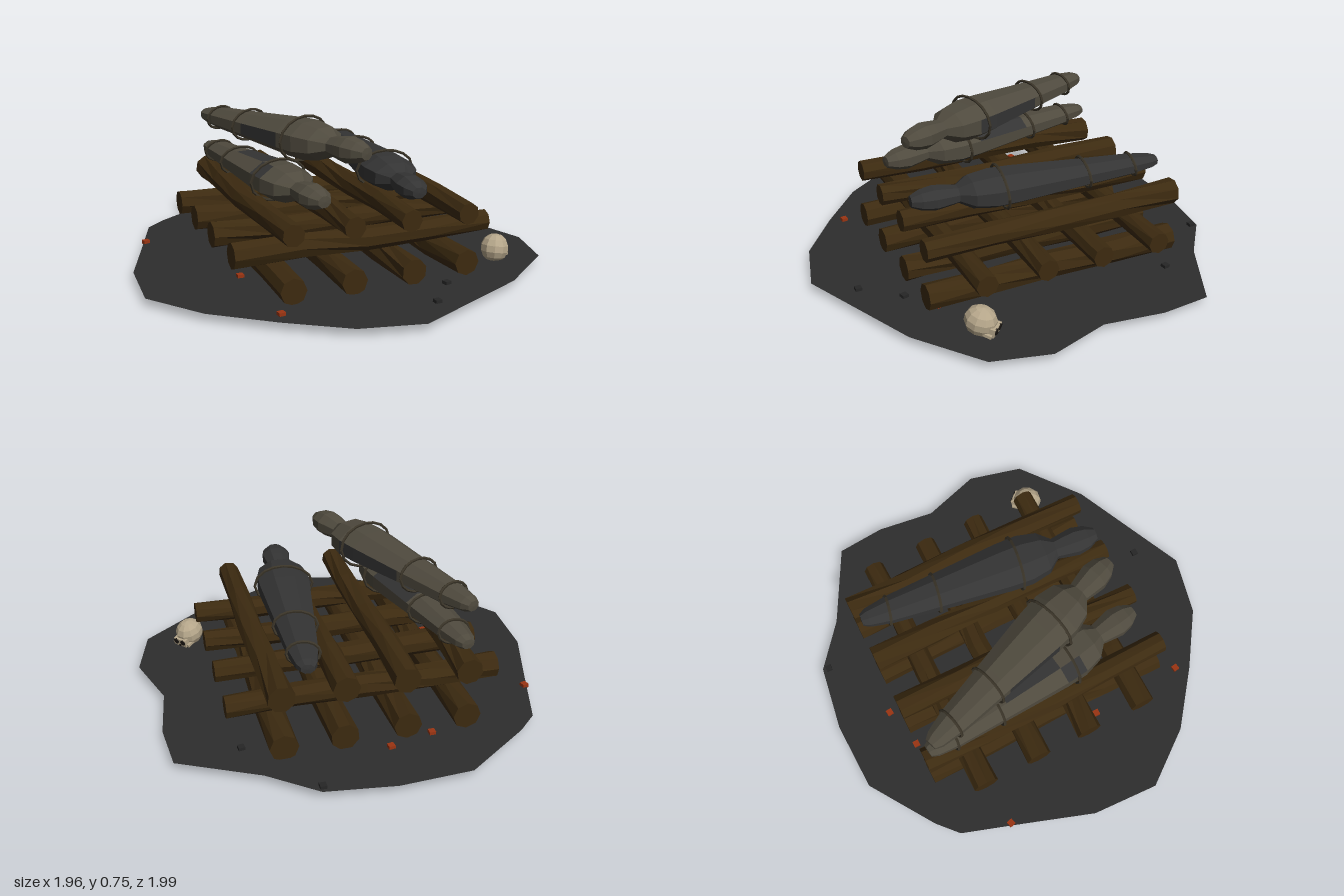
import * as THREE from 'three';

const mat = (name, color, side = THREE.FrontSide) => {
  const m = new THREE.MeshStandardMaterial({ color, side, flatShading: true });
  m.name = name;
  return m;
};

export function createModel() {
  const ash = mat('ash', 0x2e2e2e, THREE.DoubleSide);
  const wood = mat('charred wood', 0x3c2a10);
  const cloth = mat('stained cloth', 0x4f4a3e);
  const burnt = mat('burnt cloth', 0x343434);
  const rope = mat('rope', 0x3a3428);
  const bone = mat('bone', 0xb5a68a);
  const socket = mat('socket', 0x1c1814);
  const ember = mat('ember', 0x9a3412);
  const coal = mat('coal', 0x262626);

  const model = new THREE.Group();
  const add = (parent, name, geo, material, x = 0, y = 0, z = 0) => {
    const m = new THREE.Mesh(geo, material);
    m.name = name;
    m.position.set(x, y, z);
    parent.add(m);
    return m;
  };

  // Flat patch of ash with a ragged outline (x, z)
  const outline = [
    [-0.32, -0.99], [0.02, -1], [0.34, -0.95], [0.55, -0.78], [0.91, -0.59], [0.93, -0.35], [0.89, -0.06],
    [0.98, 0.23], [0.91, 0.5], [0.61, 0.73], [0.02, 0.99], [-0.27, 0.92], [-0.53, 0.74], [-0.79, 0.53],
    [-0.98, 0.27], [-0.96, -0.06], [-0.84, -0.4], [-0.74, -0.69], [-0.64, -0.78],
  ];
  const patch = new THREE.Shape(outline.map(([x, z]) => new THREE.Vector2(x, -z)));
  add(model, 'ashPatch', new THREE.ShapeGeometry(patch).rotateX(-Math.PI / 2), ash, 0, 0.04, 0);

  // Tapered log, slightly twisted and bent along its length
  function logGeometry(length, rTop, rBottom, seed) {
    const geo = new THREE.CylinderGeometry(rTop, rBottom, length, 8, 4);
    const p = geo.attributes.position;
    for (let i = 0; i < p.count; i++) {
      const x = p.getX(i), y = p.getY(i), z = p.getZ(i);
      const a = Math.sin(y * 5 + seed * 2.3) * 0.3 + seed;
      const c = Math.cos(a), s = Math.sin(a);
      p.setX(i, x * c - z * s + 0.005 * Math.sin(y * 6 + seed));
      p.setZ(i, x * s + z * c + 0.005 * Math.cos(y * 7 + seed));
    }
    geo.computeVertexNormals();
    return geo;
  }

  // Three crossed layers of four logs
  const pile = new THREE.Group();
  pile.name = 'logPile';
  model.add(pile);
  [-0.405, -0.12, 0.17, 0.44].forEach((x, i) => {
    const low = logGeometry(1.28, 0.062, 0.066, i + 1).rotateX(Math.PI / 2);
    add(pile, 'bottomLog', low, wood, x, 0.1, -0.052);
    const high = logGeometry(1.28, 0.052, 0.063, i + 5).rotateX(Math.PI / 2);
    add(pile, 'topLog', high, wood, x + [-0.005, 0, -0.01, 0.01][i], 0.343, -0.052);
  });
  [-0.485, -0.195, 0.085, 0.383].forEach((z, i) => {
    const geo = logGeometry(1.28, 0.062, 0.052, i + 9).rotateZ(Math.PI / 2);
    add(pile, 'middleLog', geo, wood, 0.02, 0.22, z);
  });

  // Wrapped form profile: position from feet to head, half width, half height
  const profile = [
    [0, 0, 0], [0.002, 0.032, 0.024], [0.03, 0.05, 0.036], [0.12, 0.072, 0.05], [0.35, 0.1, 0.065],
    [0.6, 0.13, 0.085], [0.69, 0.134, 0.088], [0.77, 0.112, 0.075], [0.82, 0.055, 0.042],
    [0.87, 0.066, 0.052], [0.91, 0.074, 0.058], [0.96, 0.062, 0.048], [0.998, 0.034, 0.028], [1, 0, 0],
  ];
  const SIDES = 8;
  function wrapGeometry(length, thick, patches) {
    const pos = [], plain = [], marked = [];
    for (const [t, rx, ry] of profile) {
      for (let i = 0; i < SIDES; i++) {
        const a = ((i + 0.5) / SIDES) * Math.PI * 2;
        pos.push(Math.cos(a) * rx, Math.sin(a) * ry * thick, t * length);
      }
    }
    for (let k = 0; k < profile.length - 1; k++) {
      for (let i = 0; i < SIDES; i++) {
        const a = k * SIDES + i, b = k * SIDES + ((i + 1) % SIDES);
        const list = patches.includes(k * SIDES + i) ? marked : plain;
        if (k > 0) list.push(a, b, a + SIDES);
        if (k < profile.length - 2) list.push(b, b + SIDES, a + SIDES);
        else if (k === 0) list.push(b, b + SIDES, a + SIDES);
      }
    }
    const geo = new THREE.BufferGeometry();
    geo.setAttribute('position', new THREE.Float32BufferAttribute(pos, 3));
    geo.setIndex([...plain, ...marked]);
    geo.addGroup(0, plain.length, 0);
    geo.addGroup(plain.length, marked.length, 1);
    geo.computeVertexNormals();
    return geo;
  }

  // Elliptical rope loop around a wrapped form
  class Loop extends THREE.Curve {
    constructor(rx, ry, tilt) {
      super();
      Object.assign(this, { rx, ry, tilt });
    }
    getPoint(t, out = new THREE.Vector3()) {
      const a = t * Math.PI * 2;
      return out.set(Math.cos(a) * this.rx, Math.sin(a) * this.ry, Math.sin(a + 0.6) * this.tilt);
    }
  }

  function wrapped(name, feet, head, thick, material, patches) {
    const g = new THREE.Group();
    g.name = name;
    const from = new THREE.Vector3(...feet), to = new THREE.Vector3(...head);
    const length = from.distanceTo(to);
    g.position.copy(from);
    g.lookAt(to);
    add(g, 'wrapping', wrapGeometry(length, thick, patches), [material, burnt]);
    for (const [t, rx, ry] of [[0.11, 0.074, 0.054], [0.31, 0.102, 0.072], [0.65, 0.141, 0.1]]) {
      const loop = new Loop(rx, ry * thick, 0.012);
      add(g, 'ropeLoop', new THREE.TubeGeometry(loop, 16, 0.007, 5, true), rope, 0, 0, t * length);
    }
    model.add(g);
  }
  wrapped('darkWrappedForm', [0.325, 0.465, -0.67], [0.205, 0.455, 0.555], 0.95, burnt, []);
  wrapped('lowerWrappedForm', [-0.4, 0.465, -0.665], [-0.235, 0.455, 0.515], 1, cloth, [32, 33, 42, 46, 37]);
  wrapped('upperWrappedForm', [-0.42, 0.642, -0.645], [-0.02, 0.64, 0.485], 1.07, cloth, [35, 39, 47, 30]);

  // Skull lying on the ash, its face along local +z
  const skull = new THREE.Group();
  skull.name = 'skull';
  skull.position.set(0.695, 0.088, 0.435);
  skull.rotation.set(0.2, 2.3, 0, 'YXZ');
  const dome = new THREE.SphereGeometry(0.07, 10, 7).scale(0.97, 1, 1.08);
  add(skull, 'cranium', dome, bone);
  add(skull, 'face', new THREE.BoxGeometry(0.075, 0.055, 0.05), bone, 0, -0.022, 0.058);
  add(skull, 'jaw', new THREE.BoxGeometry(0.06, 0.028, 0.06), bone, 0, -0.062, 0.052);
  for (const s of [-1, 1]) {
    const eye = new THREE.CylinderGeometry(0.015, 0.015, 0.008, 8).rotateX(Math.PI / 2);
    add(skull, 'eyeSocket', eye, socket, s * 0.021, -0.008, 0.083);
    add(skull, 'cheekbone', new THREE.BoxGeometry(0.018, 0.014, 0.04), bone, s * 0.042, -0.028, 0.056);
  }
  add(skull, 'noseHole', new THREE.BoxGeometry(0.012, 0.016, 0.006), socket, 0, -0.032, 0.083);
  for (let i = -2; i <= 2; i++) {
    add(skull, 'tooth', new THREE.BoxGeometry(0.008, 0.012, 0.008), bone, i * 0.011, -0.05, 0.081);
  }
  model.add(skull);

  // Scattered embers and coals
  const scatter = (name, material, spots) => spots.forEach(([x, z], i) => {
    const chip = add(model, name, new THREE.BoxGeometry(0.03, 0.02, 0.03), material, x, 0.045, z);
    chip.rotation.y = (i % 3) * 0.12;
  });
  scatter('ember', ember, [[-0.24, -0.69], [-0.03, -0.74], [-0.81, -0.45], [-0.52, 0.19], [-0.5, 0.67], [0.45, 0.53]]);
  scatter('coal', coal, [[0.33, -0.92], [0.61, -0.57], [0.31, 0.64], [0.165, 0.81], [0.29, 0.02]]);

  // Settle the skull's lowest point on y = 0
  model.updateMatrixWorld(true);
  const low = new THREE.Box3().setFromObject(skull, true).min.y;
  skull.position.y -= low;
  return model;
}
